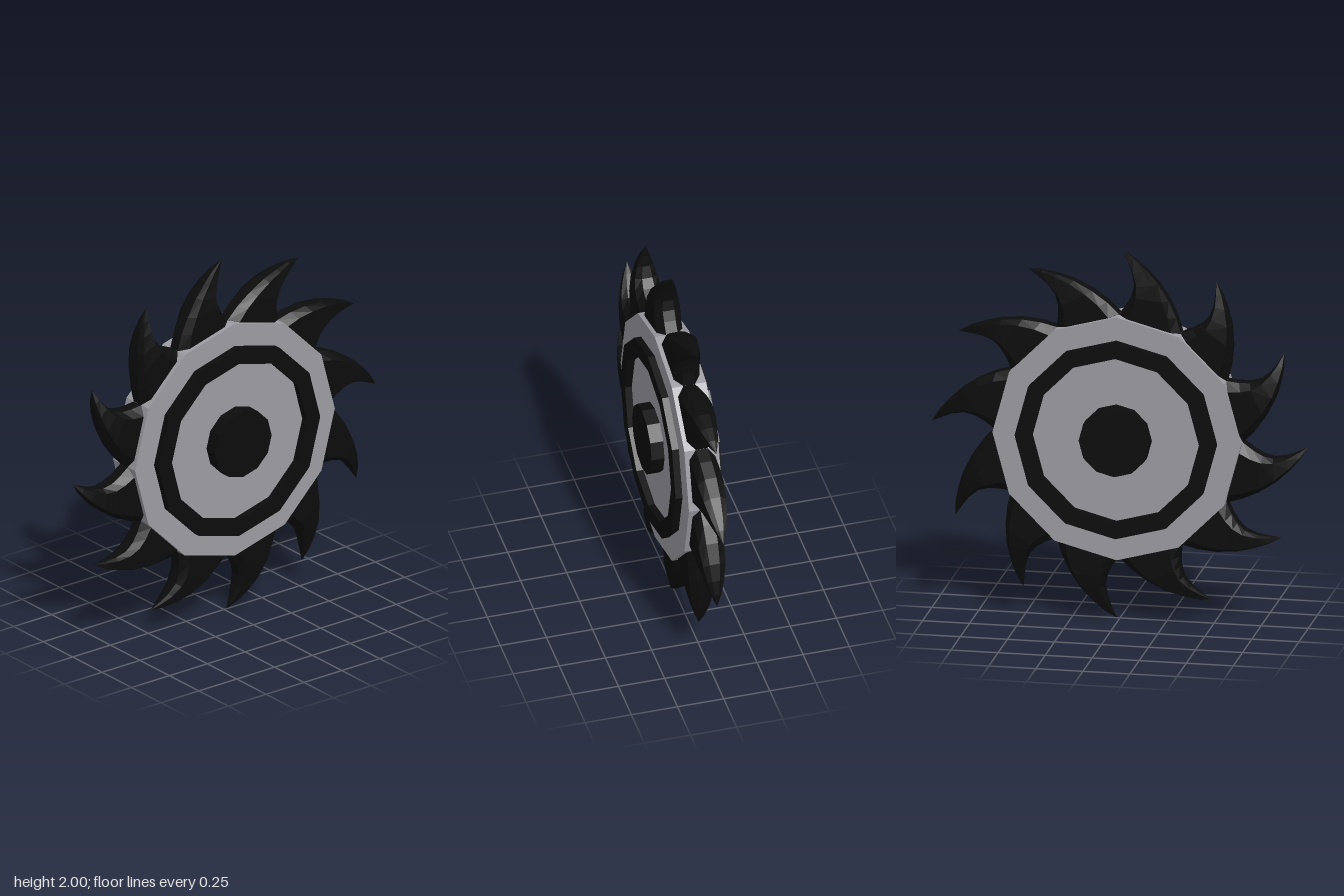
import * as THREE from 'three';

const SIDES = 12;
const CENTRE_Y = 1;
const dark = new THREE.MeshStandardMaterial({ color: 0x0c0c0c, flatShading: true });
const steel = new THREE.MeshStandardMaterial({ color: 0x9c9ca2, flatShading: true });

// Twelve-sided disc lying in the XY plane, with a corner pointing up
function disc(name, radius, halfDepth, material) {
  const geometry = new THREE.CylinderGeometry(radius, radius, halfDepth * 2, SIDES);
  geometry.rotateX(Math.PI / 2);
  const mesh = new THREE.Mesh(geometry, material);
  mesh.name = name;
  return mesh;
}

function polygon(radius, Type) {
  const points = [];
  for (let i = 0; i < SIDES; i++) {
    const a = (i / SIDES) * Math.PI * 2;
    points.push(new THREE.Vector2(Math.cos(a) * radius, Math.sin(a) * radius));
  }
  return new Type(points);
}

// Raised twelve-sided ring that stands out on both faces
function raisedRing(outer, inner, halfDepth) {
  const shape = polygon(outer, THREE.Shape);
  shape.holes.push(polygon(inner, THREE.Path));
  const geometry = new THREE.ExtrudeGeometry(shape, { depth: halfDepth * 2, bevelEnabled: false });
  geometry.translate(0, 0, -halfDepth);
  const mesh = new THREE.Mesh(geometry, dark);
  mesh.name = 'raisedRing';
  return mesh;
}

// Hooked tooth lofted through bevelled sections: [back x, back y, hook x, hook y, half depth]
function toothGeometry() {
  const sections = [
    [-0.28, 0.49, 0, 0.56, 0.07],
    [-0.33, 0.573, 0, 0.66, 0.07],
    [-0.306, 0.655, -0.04, 0.715, 0.07],
    [-0.265, 0.745, -0.067, 0.765, 0.07],
    [-0.205, 0.837, -0.08, 0.82, 0.061],
    [-0.14, 0.907, -0.068, 0.885, 0.045],
    [-0.08, 0.96, -0.045, 0.94, 0.025],
    [-0.015, 1, -0.015, 1, 0],
  ];
  // [position from back edge to hook edge, share of the half depth]
  const outline = [
    [0, 0.45], [0.15, 1], [0.85, 1], [1, 0.45],
    [1, -0.45], [0.85, -1], [0.15, -1], [0, -0.45],
  ];
  const n = outline.length;
  const positions = [];
  const index = [];
  for (const [bx, by, hx, hy, depth] of sections) {
    for (const [t, s] of outline) {
      positions.push(bx + (hx - bx) * t, by + (hy - by) * t, depth * s);
    }
  }
  for (let row = 0; row < sections.length - 1; row++) {
    for (let i = 0; i < n; i++) {
      const a = row * n + i;
      const b = row * n + ((i + 1) % n);
      index.push(a, b, b + n);
      if (row < sections.length - 2) index.push(a, b + n, a + n);
    }
  }
  const geometry = new THREE.BufferGeometry();
  geometry.setAttribute('position', new THREE.Float32BufferAttribute(positions, 3));
  geometry.setIndex(index);
  geometry.computeVertexNormals();
  return geometry;
}

export function createModel() {
  const model = new THREE.Group();
  model.name = 'sawBlade';

  const blade = new THREE.Group();
  blade.name = 'blade';
  blade.position.y = CENTRE_Y;
  model.add(blade);

  // Stacked centre parts
  blade.add(disc('plate', 0.66, 0.093, steel));
  blade.add(raisedRing(0.535, 0.445, 0.13));
  blade.add(disc('hub', 0.188, 0.163, dark));

  // One tooth on each side of the plate
  const teeth = new THREE.Group();
  teeth.name = 'teeth';
  const geometry = toothGeometry();
  for (let i = 0; i < SIDES; i++) {
    const tooth = new THREE.Mesh(geometry, dark);
    tooth.name = 'tooth';
    tooth.rotation.z = (i / SIDES) * Math.PI * 2;
    teeth.add(tooth);
  }
  blade.add(teeth);

  return model;
}
